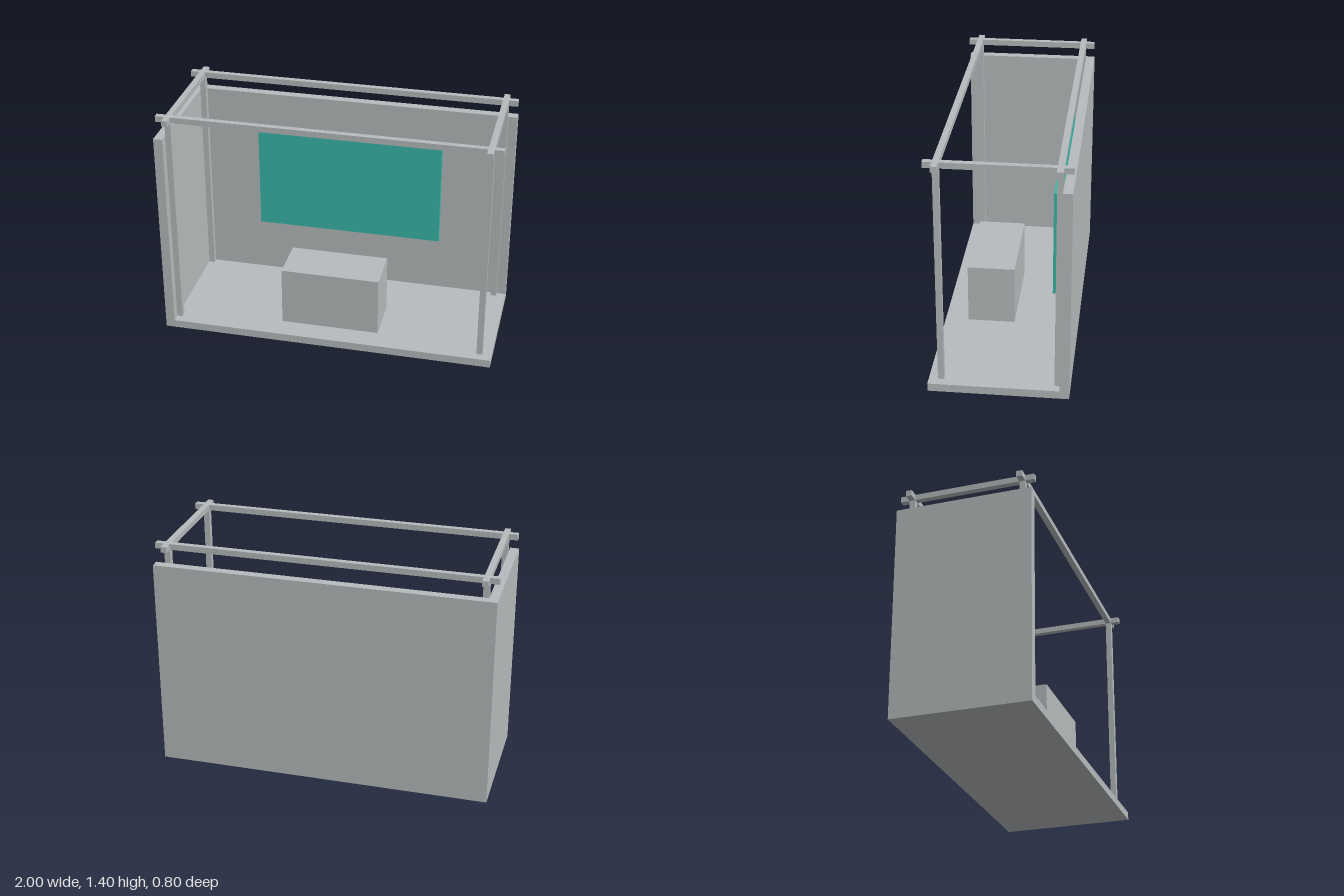
import * as THREE from 'three';

export function createModel() {
  const group = new THREE.Group();
  const grey = new THREE.MeshStandardMaterial({ color: 0xb8bcbe });
  grey.name = 'grey';
  const teal = new THREE.MeshStandardMaterial({ color: 0x3bb8a9 });
  teal.name = 'teal';

  // Box given by its minimum and maximum on each axis
  function box(name, [x0, x1], [y0, y1], [z0, z1], material = grey) {
    const mesh = new THREE.Mesh(new THREE.BoxGeometry(x1 - x0, y1 - y0, z1 - z0), material);
    mesh.position.set((x0 + x1) / 2, (y0 + y1) / 2, (z0 + z1) / 2);
    mesh.name = name;
    group.add(mesh);
  }

  const W = 1, D = 0.4, H = 1.4;      // half width, half depth, height
  const floorTop = 0.048, wallTop = 1.28, wall = 0.054;
  const bar = 0.035, barX = 0.928, barZ = 0.33;
  const span = (c) => [c - bar / 2, c + bar / 2];

  // Booth shell: floor, back wall and one side wall
  box('floor', [-W, W], [0, floorTop], [-D, D]);
  box('backWall', [-W, W], [floorTop, wallTop], [-D, -D + wall]);
  box('sideWall', [-W, -W + wall], [floorTop, wallTop], [-D + wall, D]);

  // Corner posts and crossing top rails
  for (const s of [-1, 1]) {
    for (const t of [-1, 1]) {
      box('post', span(s * barX), [floorTop, H - bar], span(t * barZ));
    }
    box('longRail', [-W, W], [H - bar, H], span(s * barZ));
    box('crossRail', span(s * barX), [H - bar, H], [-D, D]);
  }

  // Counter and display panel
  box('counter', [-0.297, 0.297], [floorTop, 0.41], [-0.019, 0.262]);
  box('displayPanel', [-0.57, 0.57], [0.423, 1.063], [-0.307, -0.268], teal);

  return group;
}
